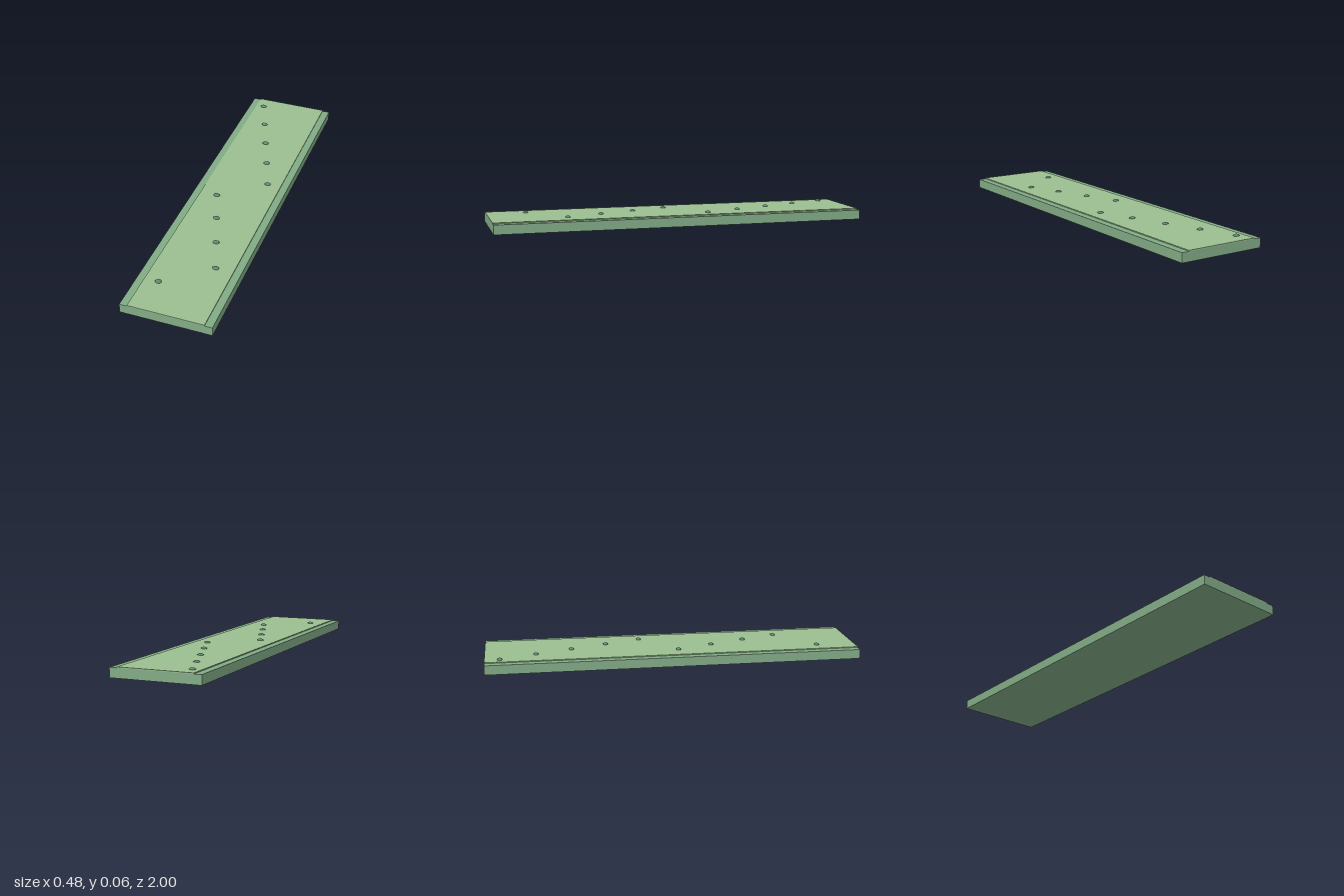
import * as THREE from 'three';

const material = (color) => new THREE.MeshStandardMaterial({ color });

export function createModel() {
  const model = new THREE.Group();

  const add = (name, geometry, mat, x, y, z, parent = model) => {
    const mesh = new THREE.Mesh(geometry, mat);
    mesh.name = name;
    mesh.position.set(x, y, z);
    parent.add(mesh);
    return mesh;
  };

  // Slab with a slightly raised, lighter strip along its length
  add('base', new THREE.BoxGeometry(0.48, 0.05, 2), material(0x82ab86), 0, 0.025, 0);
  add('topStrip', new THREE.BoxGeometry(0.4, 0.005, 2), material(0x9cbf90), 0, 0.0525, 0);

  // Small flattened tufts, stepping diagonally across the strip
  const tufts = new THREE.Group();
  tufts.name = 'tufts';
  model.add(tufts);
  const tuftGeometry = new THREE.SphereGeometry(1, 16, 10).scale(0.0175, 0.009, 0.0135);
  const tuftMaterial = material(0x5f8a70);
  for (let i = 0; i < 10; i++) {
    const x = -0.155 + ((i * 7) % 30) / 100;
    add('tuft', tuftGeometry, tuftMaterial, x, 0.055, -0.92 + i * 0.19, tufts);
  }
  return model;
}
